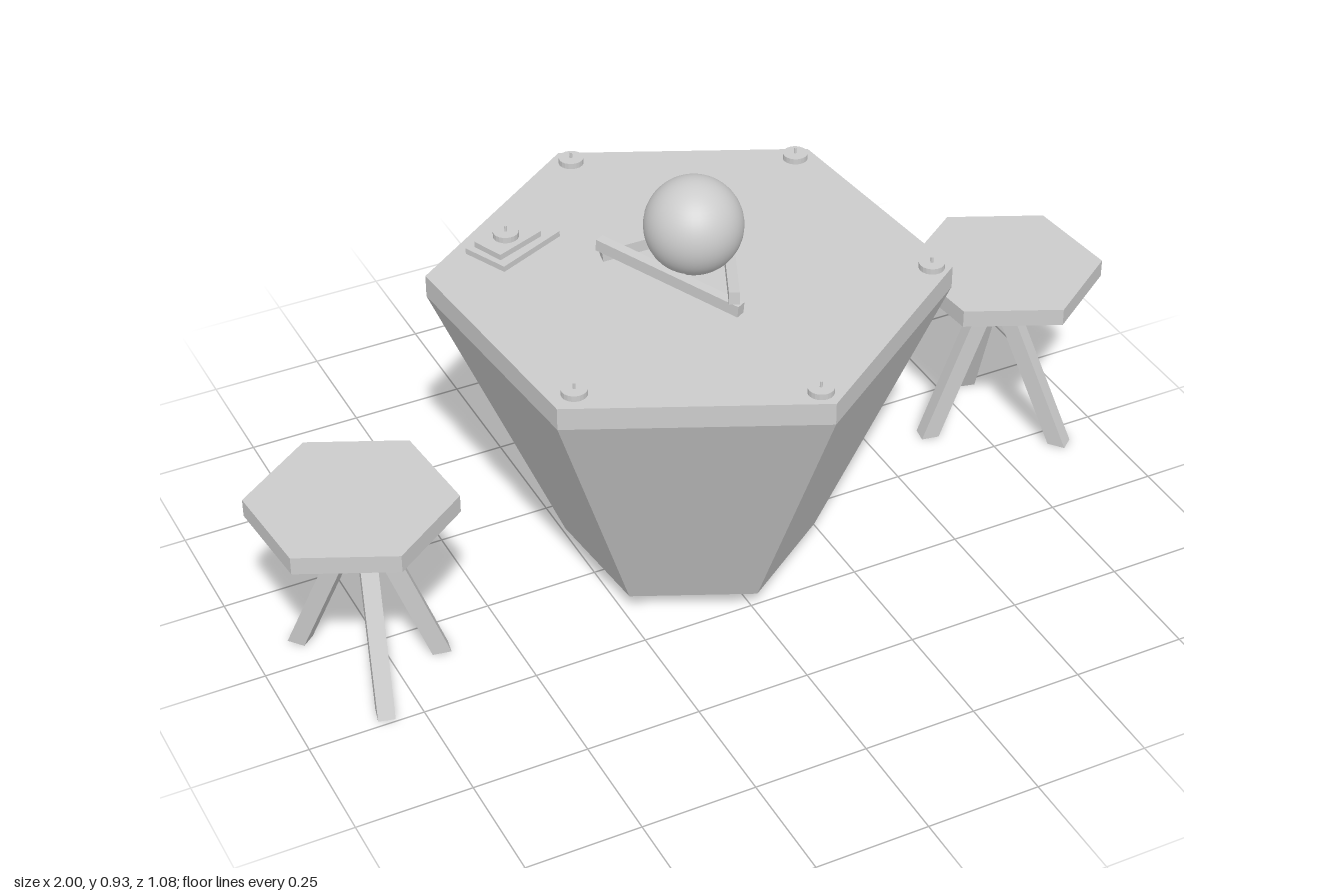
import * as THREE from 'three';

const flat = new THREE.MeshStandardMaterial({ color: 0xcccccc, flatShading: true });
const smooth = new THREE.MeshStandardMaterial({ color: 0xcccccc });
const TURN = 0.09; // shared twist of all hexagons

function add(parent, name, geometry, x, y, z, material = flat) {
  const mesh = new THREE.Mesh(geometry, material);
  mesh.name = name;
  mesh.position.set(x, y, z);
  parent.add(mesh);
  return mesh;
}

// square bar running from a to b
function bar(parent, name, a, b, width, height) {
  const from = new THREE.Vector3(...a), to = new THREE.Vector3(...b);
  const mid = from.clone().add(to).multiplyScalar(0.5);
  const mesh = add(parent, name, new THREE.BoxGeometry(width, height, from.distanceTo(to)), mid.x, mid.y, mid.z);
  mesh.lookAt(to);
}

// splayed leg with level ends: a box sheared from the apex to the foot
function leg(parent, top, foot, height) {
  const geometry = new THREE.BoxGeometry(0.036, height, 0.04);
  geometry.rotateY(Math.atan2(foot[0] - top[0], foot[1] - top[1]));
  geometry.translate(0, height / 2, 0);
  const p = geometry.attributes.position;
  for (let i = 0; i < p.count; i++) {
    const t = p.getY(i) / height;
    p.setX(i, p.getX(i) + foot[0] + (top[0] - foot[0]) * t);
    p.setZ(i, p.getZ(i) + foot[1] + (top[1] - foot[1]) * t);
  }
  geometry.computeVertexNormals();
  add(parent, 'stoolLeg', geometry, 0, 0, 0);
}

function stool(x, z, angle) {
  const group = new THREE.Group();
  group.name = 'stool';
  add(group, 'seat', new THREE.CylinderGeometry(0.217, 0.217, 0.04, 6), 0, 0.415, 0).rotation.y = TURN;
  const feet = [[0.09, 0.135], [-0.16, -0.025], [0.02, -0.165]];
  feet.forEach((foot) => leg(group, [-0.02, 0], foot, 0.4));
  group.position.set(x, 0, z);
  group.rotation.y = angle;
  return group;
}

// round stud: disc with a thin pin
function stud(parent, x, y, z) {
  const group = new THREE.Group();
  group.name = 'stud';
  add(group, 'studDisc', new THREE.CylinderGeometry(0.027, 0.027, 0.014, 20), 0, 0.006, 0);
  add(group, 'studPin', new THREE.CylinderGeometry(0.003, 0.003, 0.016, 8), 0, 0.018, 0);
  group.position.set(x, y, z);
  parent.add(group);
}

export function createModel() {
  const model = new THREE.Group();

  // hexagonal table: shallow pointed base, flared body, upright rim
  const table = new THREE.Group();
  table.name = 'table';
  const profile = [[0, 0.02], [0.27, 0.045], [0.54, 0.66], [0.54, 0.71], [0, 0.71]];
  const body = new THREE.LatheGeometry(profile.map(([r, y]) => new THREE.Vector2(r, y)), 6);
  add(table, 'tableBody', body, -0.02, 0, 0).rotation.y = TURN;

  // studs near five corners, and a stacked plate with a stud at the sixth
  [[-0.06, -0.49], [0.38, -0.29], [0.43, 0.21], [0.02, 0.49], [-0.41, 0.28]]
    .forEach(([x, z]) => stud(table, x, 0.71, z));
  add(table, 'lowerPlate', new THREE.BoxGeometry(0.172, 0.014, 0.107), -0.303, 0.716, -0.252).rotation.y = 0.42;
  add(table, 'upperPlate', new THREE.BoxGeometry(0.12, 0.014, 0.075), -0.315, 0.729, -0.25).rotation.y = 0.38;
  stud(table, -0.318, 0.736, -0.252);
  model.add(table);

  // three bars, each resting on the next, cradling a ball
  const cradle = new THREE.Group();
  cradle.name = 'ballCradle';
  bar(cradle, 'backBar', [-0.165, 0.728, -0.117], [0.12, 0.762, -0.07], 0.026, 0.026);
  bar(cradle, 'rightBar', [0.105, 0.735, -0.08], [-0.015, 0.757, 0.19], 0.022, 0.028);
  bar(cradle, 'leftBar', [-0.17, 0.757, -0.115], [0, 0.725, 0.19], 0.022, 0.026);
  add(cradle, 'ball', new THREE.SphereGeometry(0.103, 40, 28), -0.013, 0.825, 0.005, smooth);
  model.add(cradle);

  // stools on both sides, turned half a revolution from each other
  model.add(stool(0.8, -0.085, 0), stool(-0.803, 0.055, Math.PI));
  return model;
}
